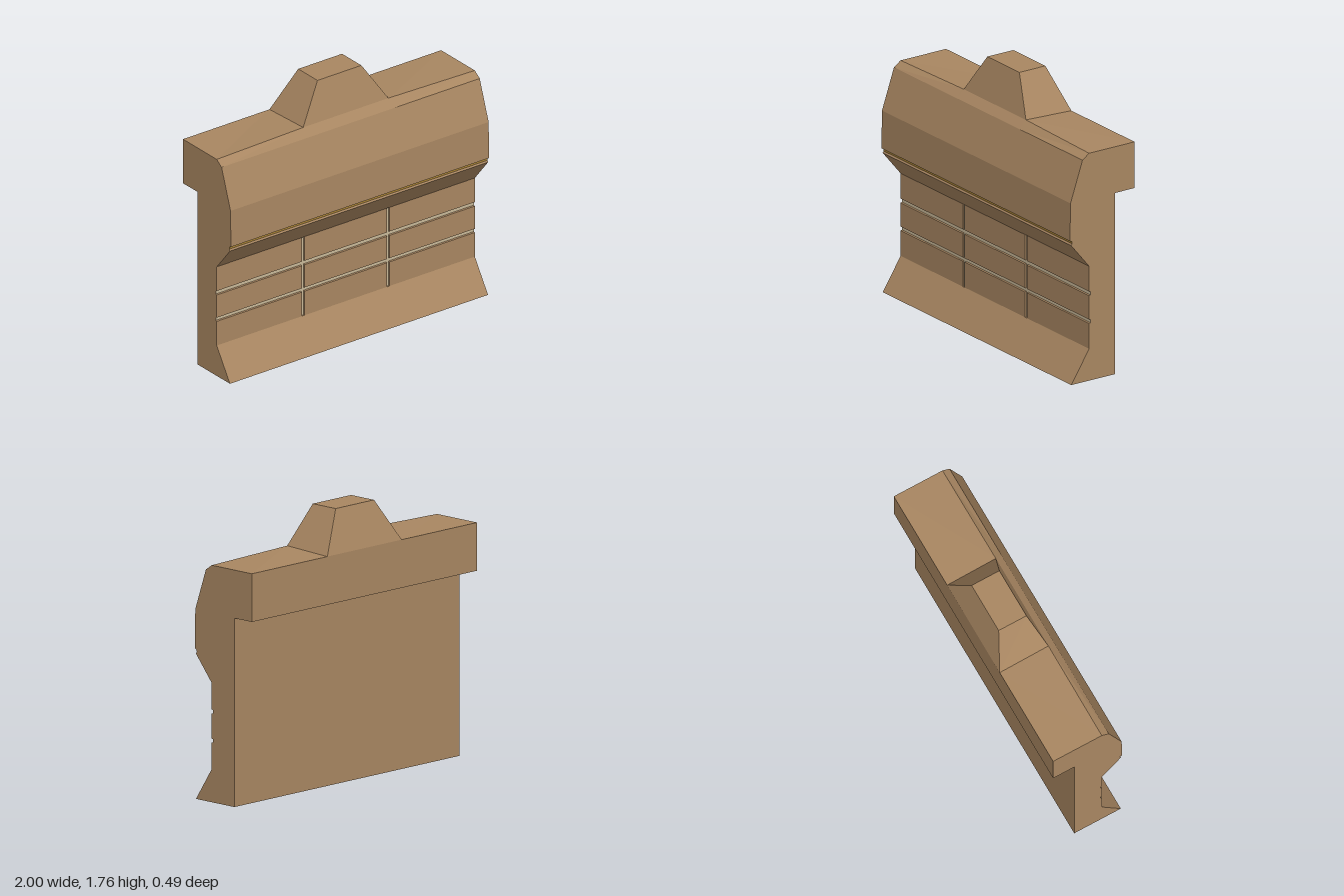
import * as THREE from 'three';

const DEPTH = 0.09; // z of the groove floors
const PANEL = 0.1; // z of the front panel

// Cross-section [z, y, kind of the strip that follows], front bottom first, going up
const profile = [
  [0.235, 0], [PANEL, 0.21], [PANEL, 0.21, 'panel'],
  [PANEL, 0.377, 'panel'], [DEPTH, 0.38, 'groove'], [DEPTH, 0.4, 'panel'], [PANEL, 0.403, 'panel'],
  [PANEL, 0.56, 'panel'], [DEPTH, 0.563, 'groove'], [DEPTH, 0.585, 'panel'], [PANEL, 0.588, 'panel'],
  [PANEL, 0.755], [PANEL, 0.755],
  [0.236, 0.92], [0.228, 0.93, 'trim'], [0.23, 0.945], [0.245, 0.952],
  [0.241, 1.2], [0.15, 1.465], [0.1, 1.5, 'top'],
  [-0.245, 1.5], [-0.245, 1.195], [-0.095, 1.195], [-0.095, 0],
];
const RIDGE = 19; // front top edge, rises toward the middle
const FIRST = 2, LAST = 11; // points pushed in by the vertical grooves

// Stations along x: [x, recessed]
const half = [[0.32, false], [0.32, true], [0.33, true], [0.34, true], [0.34, false], [1, false]];
const stations = [...half.map(([x, r]) => [-x, r]).reverse(), ...half];

function section([x, recessed]) {
  const rise = 0.015 * Math.min(1, (1 - Math.abs(x)) / 0.67);
  return profile.map(([z, y], i) => new THREE.Vector3(
    x,
    i === RIDGE ? y + rise : y,
    recessed && i >= FIRST && i <= LAST ? DEPTH : z,
  ));
}

function addTriangle(list, a, b, c) {
  if (new THREE.Triangle(a, b, c).getArea() < 1e-7) return;
  for (const p of [a, b, c]) list.push(p.x, p.y, p.z);
}

function addQuad(list, a, b, c, d) {
  addTriangle(list, a, b, c);
  addTriangle(list, a, c, d);
}

function makeMesh(name, positions, color) {
  const geometry = new THREE.BufferGeometry();
  geometry.setAttribute('position', new THREE.Float32BufferAttribute(positions, 3));
  geometry.computeVertexNormals();
  const mesh = new THREE.Mesh(geometry, new THREE.MeshStandardMaterial({ color }));
  mesh.name = name;
  return mesh;
}

export function createModel() {
  const group = new THREE.Group();
  group.name = 'parapetWall';
  const wall = [], grooves = [], trim = [], block = [];

  // Wall skin, strip by strip between neighbouring stations
  const sections = stations.map(section);
  for (let s = 0; s < sections.length - 1; s++) {
    const p = sections[s], q = sections[s + 1];
    const recessed = stations[s][1] && stations[s + 1][1];
    const underBlock = Math.max(Math.abs(stations[s][0]), Math.abs(stations[s + 1][0])) < 0.331;
    for (let i = 0; i < profile.length; i++) {
      const j = (i + 1) % profile.length;
      const kind = profile[i][2];
      if (kind === 'top' && underBlock) continue;
      const floor = kind === 'groove' || (kind === 'panel' && recessed);
      const list = floor ? grooves : kind === 'trim' ? trim : wall;
      addQuad(list, p[i], q[i], q[j], p[j]);
    }
  }

  // End faces
  const outline = profile.map(([z, y]) => new THREE.Vector2(z, y));
  const left = sections[sections.length - 1], right = sections[0];
  for (const [a, b, c] of THREE.ShapeUtils.triangulateShape(outline, [])) {
    addTriangle(right, a, b, c);
    addTriangle(left, a, c, b);
  }
  function addTriangle(end, a, b, c) {
    for (const k of [a, b, c]) wall.push(end[k].x, end[k].y, end[k].z);
  }

  // Tapered block on top
  const ring = (x, front, frontY, back, backY) => [
    new THREE.Vector3(-x, frontY, front), new THREE.Vector3(x, frontY, front),
    new THREE.Vector3(x, backY, back), new THREE.Vector3(-x, backY, back),
  ];
  const base = ring(0.33, 0.1, 1.515, -0.245, 1.5);
  const cap = ring(0.17, 0.035, 1.765, -0.162, 1.765);
  for (let i = 0; i < 4; i++) {
    const j = (i + 1) % 4;
    addQuad(block, base[i], base[j], cap[j], cap[i]);
  }
  addQuad(block, ...cap);

  group.add(
    makeMesh('wall', wall, 0xa88661),
    makeMesh('grooveFloors', grooves, 0xc8b898),
    makeMesh('trimStrip', trim, 0xb08838),
    makeMesh('topBlock', block, 0xa88661),
  );
  return group;
}
